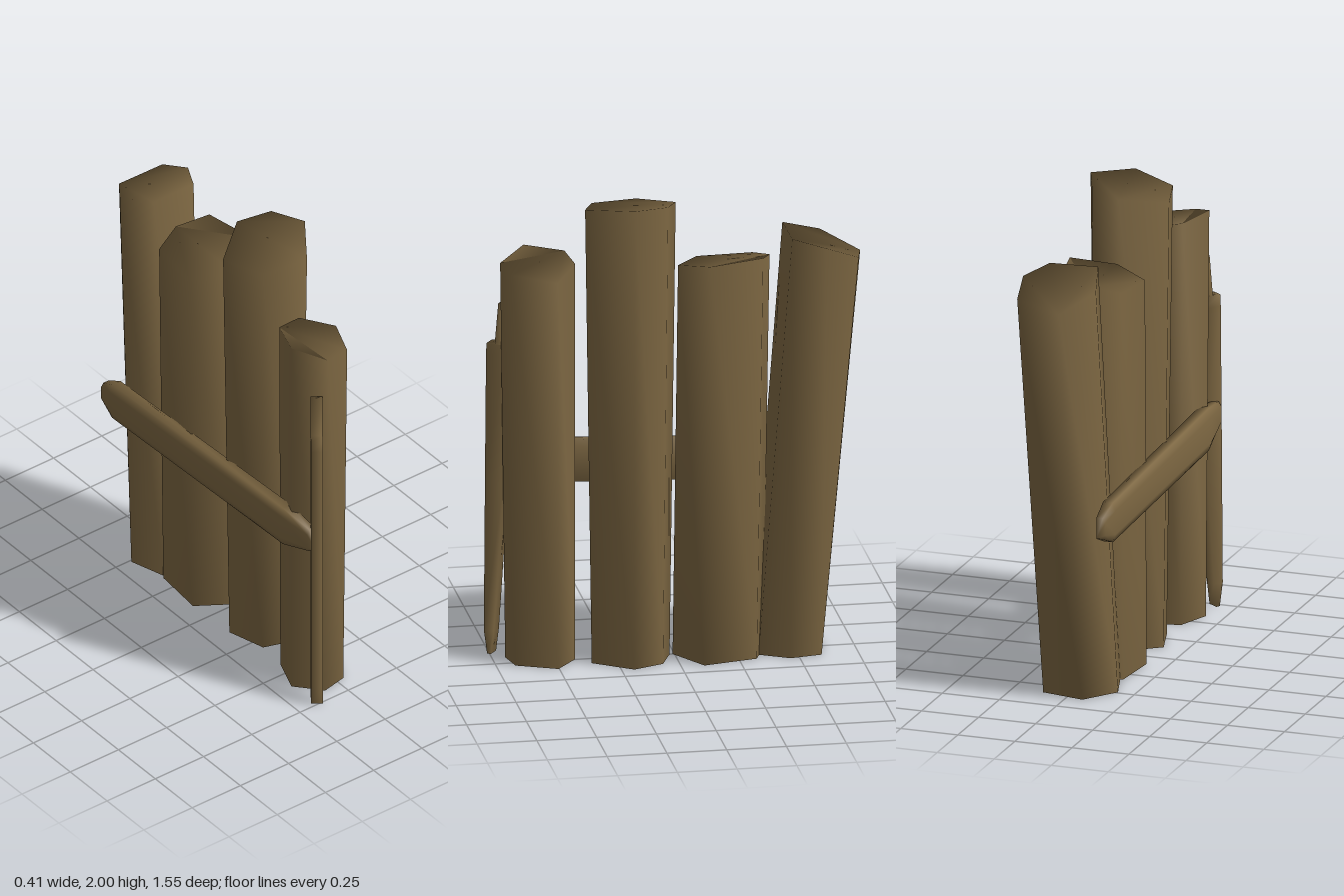
import * as THREE from 'three';

// Skin a list of rings (each a list of [x, y, z]) into a closed smooth solid
function loft(rings) {
  const n = rings[0].length, last = (rings.length - 1) * n;
  const pos = rings.flat(2), index = [];
  for (let r = 0; r < rings.length - 1; r++) {
    for (let i = 0; i < n; i++) {
      const a = r * n + i, b = r * n + (i + 1) % n;
      index.push(a, b, b + n, a, b + n, a + n);
    }
  }
  for (let i = 1; i < n - 1; i++) {
    index.push(0, i + 1, i, last, last + i, last + i + 1);
  }
  // Turn the faces outward if the rings ran the other way
  const p = (i) => new THREE.Vector3(pos[3 * i], pos[3 * i + 1], pos[3 * i + 2]);
  let volume = 0;
  for (let i = 0; i < index.length; i += 3) {
    volume += p(index[i]).dot(p(index[i + 1]).cross(p(index[i + 2])));
  }
  if (volume < 0) index.reverse();
  const geo = new THREE.BufferGeometry();
  geo.setAttribute('position', new THREE.Float32BufferAttribute(pos, 3));
  geo.setIndex(index);
  geo.computeVertexNormals();
  return geo;
}

// Six-sided logs: top corners [x, z, height]; the foot is the top ring scaled about its middle and shifted
const LOGS = [
  { name: 'frontLog', scale: 0.93, shift: [0, -0.01],
    top: [[-0.12, 0.44, 1.74], [0, 0.415, 1.72], [0.12, 0.51, 1.68],
      [0.04, 0.69, 1.7], [-0.08, 0.715, 1.715], [-0.18, 0.6, 1.755]] },
  { name: 'tallLog', scale: 0.86, shift: [0, 0],
    top: [[0, -0.005, 1.965], [0.135, 0.05, 1.99], [0.195, 0.2, 2],
      [0.065, 0.385, 1.975], [-0.12, 0.325, 1.94], [-0.175, 0.13, 1.93]] },
  { name: 'middleLog', scale: 0.99, shift: [0, 0.025],
    top: [[-0.015, -0.4, 1.71], [0.12, -0.35, 1.74], [0.17, -0.12, 1.732],
      [0, -0.015, 1.69], [-0.16, -0.12, 1.67], [-0.14, -0.35, 1.68]] },
  { name: 'leaningLog', scale: 0.95, shift: [-0.055, 0.138],
    top: [[-0.02, -0.78, 1.705], [0.175, -0.74, 1.74], [0.2, -0.6, 1.795],
      [0.13, -0.47, 1.82], [-0.08, -0.465, 1.825], [-0.13, -0.63, 1.77]] },
];

function logGeometry({ top, scale, shift }) {
  const cx = top.reduce((s, c) => s + c[0], 0) / top.length;
  const cz = top.reduce((s, c) => s + c[1], 0) / top.length;
  return loft([
    top.map(([x, z]) => [cx + (x - cx) * scale + shift[0], 0, cz + (z - cz) * scale + shift[1]]),
    top.map(([x, z, y]) => [x, y, z]),
  ]);
}

// Tapered rail: [z, middle height, half height, outer x]
function railGeometry() {
  const stations = [
    [-0.68, 0.765, 0.045, -0.19], [-0.6, 0.77, 0.085, -0.205],
    [0.56, 0.82, 0.092, -0.205], [0.72, 0.835, 0.055, -0.19],
  ];
  return loft(stations.map(([z, y, h, x]) => [
    [-0.15, y - h, z], [-0.15, y + h, z], [x + 0.012, y + h, z],
    [x, y + h * 0.6, z], [x, y - h * 0.6, z], [x + 0.012, y - h, z],
  ]));
}

// Splintered upright: [y, outer depth, inner depth], set diagonally against the front log
function splinterGeometry() {
  const stations = [
    [0, 0.015, 0.032], [0.1, 0, 0.045], [0.75, 0.005, 0.09], [1.3, 0.01, 0.095],
    [1.35, 0.012, 0.094], [1.355, 0.05, 0.094], [1.53, 0.066, 0.086],
  ];
  const half = 0.025;
  const corner = (y, d, w) => [-0.167 + 0.58 * d + 0.81 * w, y, 0.757 - 0.81 * d + 0.58 * w];
  return loft(stations.map(([y, d0, d1]) => [
    corner(y, d0, -half), corner(y, d0, half), corner(y, d1, half), corner(y, d1, -half),
  ]));
}

export function createModel() {
  const group = new THREE.Group();
  group.name = 'palisade';
  const wood = new THREE.MeshStandardMaterial({ color: 0x7d6742 });
  wood.name = 'wood';
  const add = (name, geometry) => {
    const mesh = new THREE.Mesh(geometry, wood);
    mesh.name = name;
    group.add(mesh);
  };
  LOGS.forEach((log) => add(log.name, logGeometry(log)));
  add('crossRail', railGeometry());
  add('splinterPost', splinterGeometry());
  return group;
}
